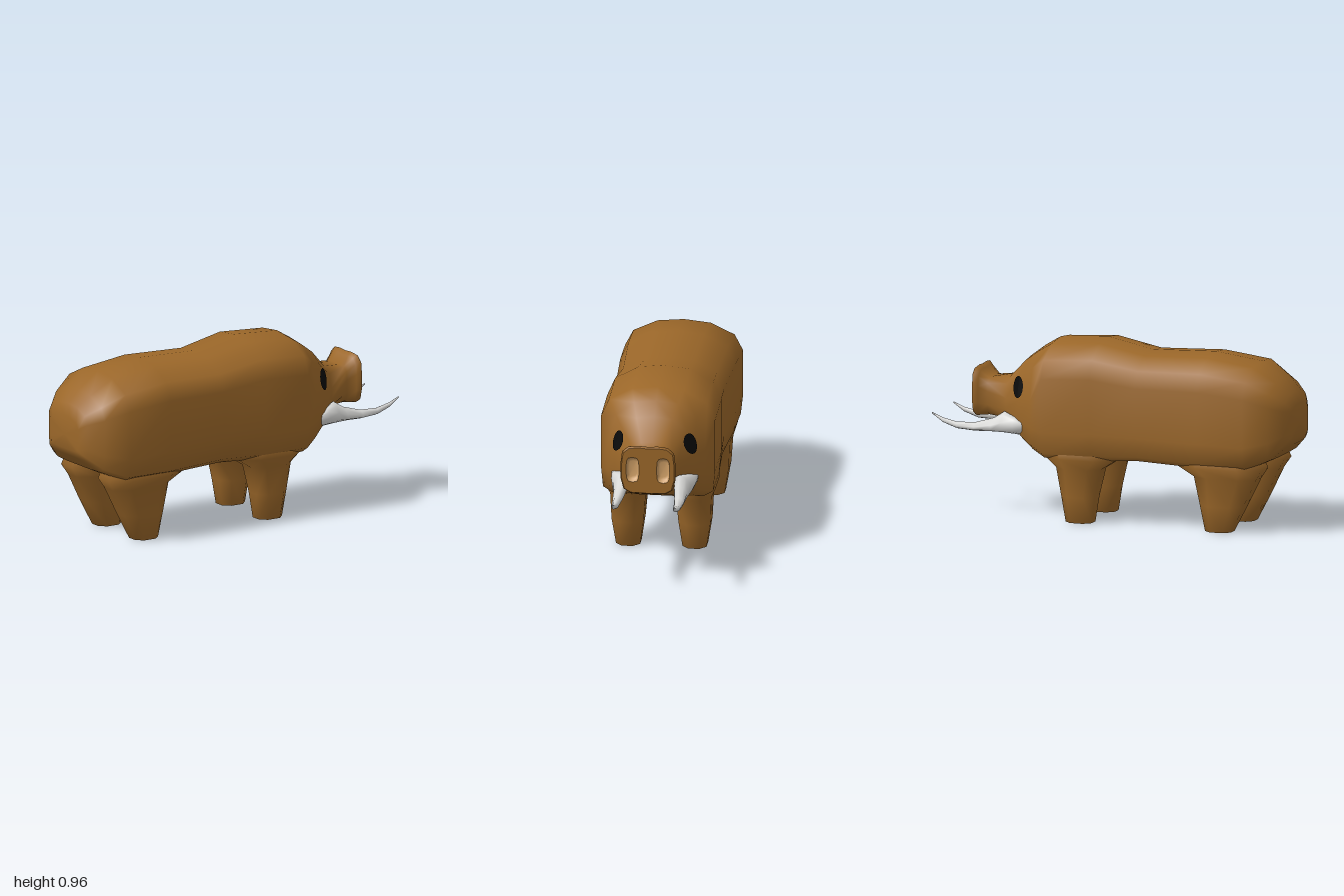
import * as THREE from 'three';

const brown = new THREE.MeshStandardMaterial({ color: 0x9b6729 });
brown.name = 'brown hide';
const ivory = new THREE.MeshStandardMaterial({ color: 0xd8d8d6 });
ivory.name = 'ivory';
const black = new THREE.MeshStandardMaterial({ color: 0x0a0a0a, side: THREE.DoubleSide });
black.name = 'eye black';
const tan = new THREE.MeshStandardMaterial({ color: 0xcf9f66, side: THREE.DoubleSide });
tan.name = 'nostril tan';

// Skin a list of closed rings with smooth normals; capStart / capEnd close the ends.
function loft(rings, capStart = true, capEnd = true) {
  const n = rings[0].length, pos = rings.flat(2), idx = [];
  for (let i = 0; i < rings.length - 1; i++)
    for (let j = 0; j < n; j++) {
      const a = i * n + j, b = i * n + (j + 1) % n;
      idx.push(a, b, a + n, b, b + n, a + n);
    }
  const mean = points => [0, 1, 2].map(k => points.reduce((s, p) => s + p[k], 0) / points.length);
  const cap = (row, flip) => {
    const m = pos.length / 3;
    pos.push(...mean(rings[row]));
    for (let j = 0; j < n; j++) {
      const a = row * n + j, b = row * n + (j + 1) % n;
      flip ? idx.push(b, a, m) : idx.push(a, b, m);
    }
  };
  if (capStart) cap(0, true);
  if (capEnd) cap(rings.length - 1, false);
  // Turn the skin outward if its signed volume about the middle is negative
  let volume = 0;
  const mid = new THREE.Vector3(...mean(rings.flat()));
  const corner = i => new THREE.Vector3().fromArray(pos, idx[i] * 3).sub(mid);
  for (let i = 0; i < idx.length; i += 3) volume += corner(i).dot(corner(i + 1).cross(corner(i + 2)));
  if (volume < 0) idx.reverse();
  const g = new THREE.BufferGeometry();
  g.setAttribute('position', new THREE.Float32BufferAttribute(pos, 3));
  g.setIndex(idx);
  g.computeVertexNormals();
  return g;
}

// Half outlines, top to bottom: [share of half width, share of height]
const bodyOutline = [[0, 1], [0.45, 0.975], [0.86, 0.865], [1, 0.71], [1, 0.24], [0.965, 0.06], [0.8, 0.01], [0.4, 0], [0, 0]];
const headOutline = [[0, 1], [0.45, 0.97], [0.82, 0.83], [1, 0.5], [1, 0.24], [0.95, 0.07], [0.78, 0.01], [0.4, 0], [0, 0]];
const snoutOutline = [[0, 0.985], [0.35, 1], [0.72, 0.98], [0.95, 0.87], [1, 0.65], [1, 0.3], [0.9, 0.09], [0.65, 0.01], [0, 0]];

const section = outline => ([x, top, bottom, w]) => {
  const half = outline.map(([z, t]) => [x, bottom + (top - bottom) * t, z * w]);
  return [...half, ...half.slice(1, -1).reverse().map(([px, y, z]) => [px, y, -z])];
};

// Stations along the animal: x, top, bottom, half width
const bodyStations = [
  [-1, 0.68, 0.5, 0.13], [-0.975, 0.74, 0.46, 0.185], [-0.91, 0.805, 0.395, 0.25], [-0.79, 0.89, 0.34, 0.312],
  [-0.53, 0.925, 0.335, 0.306], [-0.18, 0.913, 0.348, 0.288], [0.07, 0.965, 0.335, 0.302],
  [0.34, 0.948, 0.335, 0.302],
];
const headStations = [[0.42, 0.9, 0.37, 0.26], [0.5, 0.84, 0.425, 0.21], [0.6, 0.735, 0.51, 0.128]];
const snoutStations = [
  [0.71, 0.718, 0.518, 0.11], [0.755, 0.76, 0.515, 0.132], [0.774, 0.78, 0.512, 0.145], [0.785, 0.772, 0.518, 0.138],
];

// Half width of the head surface at a given x and y
function headSurfaceZ(x, y) {
  let i = headStations.findIndex(s => s[0] >= x);
  const s0 = headStations[i - 1], s1 = headStations[i];
  const k = (x - s0[0]) / (s1[0] - s0[0]);
  const [top, bottom, w] = [1, 2, 3].map(j => THREE.MathUtils.lerp(s0[j], s1[j], k));
  const t = (y - bottom) / (top - bottom);
  i = headOutline.findIndex(p => p[1] <= t);
  const [za, ta] = headOutline[i - 1], [zb, tb] = headOutline[i];
  return w * (za + (zb - za) * (t - ta) / (tb - ta));
}

// Octagonal leg ring lying flat at height y
const octagon = [[1, 0.45], [0.5, 1], [-0.5, 1], [-1, 0.45], [-1, -0.45], [-0.5, -1], [0.5, -1], [1, -0.45]];
const legRing = (y, x0, x1, z0, z1, side) => octagon.map(([u, v]) =>
  [(x0 + x1) / 2 + u * (x1 - x0) / 2, y, side * ((z0 + z1) / 2 + v * (z1 - z0) / 2)]);

// Leg rings: y, x range, z range
const frontLegRings = [
  [0, 0.09, 0.236, 0.112, 0.24], [0.14, 0.07, 0.257, 0.092, 0.262], [0.29, 0.035, 0.285, 0.08, 0.268],
  [0.345, -0.05, 0.34, 0.06, 0.292], [0.42, -0.04, 0.33, 0.08, 0.285],
];
const hindLegRings = [
  [0, -0.69, -0.545, 0.112, 0.24], [0.14, -0.762, -0.52, 0.092, 0.262], [0.29, -0.835, -0.487, 0.08, 0.268],
  [0.345, -0.87, -0.4, 0.06, 0.292], [0.42, -0.84, -0.42, 0.08, 0.27],
];

// Tusk stations: x, top, bottom, centre z, half thickness, outward lean of the top
const tuskStations = [
  [0.475, 0.52, 0.44, 0.2, 0.025, 0.018], [0.53, 0.537, 0.447, 0.185, 0.04, 0], [0.6, 0.556, 0.452, 0.165, 0.04, -0.022],
  [0.66, 0.518, 0.45, 0.16, 0.035, -0.015], [0.76, 0.49, 0.446, 0.163, 0.027, -0.005], [0.86, 0.487, 0.452, 0.163, 0.018, 0],
  [0.94, 0.505, 0.48, 0.163, 0.01, 0], [1, 0.53, 0.522, 0.163, 0.004, 0],
];
const tuskGeometry = side => loft(tuskStations.map(([x, top, bottom, z, r, lean]) =>
  Array.from({ length: 8 }, (_, j) => {
    const c = Math.cos(j * Math.PI / 4), s = Math.sin(j * Math.PI / 4);
    return [x, (top + bottom) / 2 + s * (top - bottom) / 2, side * (z + c * r + s * lean)];
  })));

// Eye patch laid on the side of the head
function eyeGeometry(side) {
  const g = new THREE.RingGeometry(0, 1, 20, 4), p = g.attributes.position;
  for (let i = 0; i < p.count; i++) {
    const x = 0.503 + p.getX(i) * 0.036, y = 0.7 + p.getY(i) * 0.056;
    p.setXYZ(i, x + 0.004, y, side * (headSurfaceZ(x, y) + 0.006));
  }
  g.computeVertexNormals();
  return g;
}

// Rounded nostril outline in (z, y)
const nostril = (side, scale) => Array.from({ length: 12 }, (_, j) => {
  const a = (j / 12) * Math.PI * 2;
  const round = v => Math.sign(v) * Math.pow(Math.abs(v), 0.6);
  return [side * 0.081 + round(Math.cos(a)) * 0.035 * scale, 0.648 + round(Math.sin(a)) * 0.07 * scale];
});

export function createModel() {
  const model = new THREE.Group();
  model.name = 'boar';
  const add = (name, geometry, material) => {
    const mesh = new THREE.Mesh(geometry, material);
    mesh.name = name;
    model.add(mesh);
  };

  // Body, head and snout in one skin, open at the snout tip
  const snoutRings = snoutStations.map(section(snoutOutline));
  add('body', loft([
    ...bodyStations.map(section(bodyOutline)), ...headStations.map(section(headOutline)), ...snoutRings,
  ], true, false), brown);

  // Snout disc with two nostril holes
  const disc = new THREE.Shape(snoutRings[3].map(([, y, z]) => new THREE.Vector2(-z, y)));
  for (const side of [1, -1])
    disc.holes.push(new THREE.Path(nostril(side, 1).map(([z, y]) => new THREE.Vector2(z, y))));
  add('snoutDisc', new THREE.ShapeGeometry(disc).rotateY(Math.PI / 2).translate(0.785, 0, 0), brown);

  for (const side of [1, -1]) {
    const label = side > 0 ? 'Left' : 'Right';
    const pit = [[0.785, 1], [0.768, 0.8], [0.762, 0.6]].map(([x, k]) => nostril(side, k).map(([z, y]) => [x, y, z]));
    const pitGeometry = loft(pit, false, true);
    // The pit is seen from inside
    pitGeometry.setIndex([...pitGeometry.index.array].reverse());
    pitGeometry.computeVertexNormals();
    add('nostril' + label, pitGeometry, tan);
    add('frontLeg' + label, loft(frontLegRings.map(r => legRing(...r, side))), brown);
    add('hindLeg' + label, loft(hindLegRings.map(r => legRing(...r, side))), brown);
    add('tusk' + label, tuskGeometry(side), ivory);
    add('eye' + label, eyeGeometry(side), black);
  }
  return model;
}
